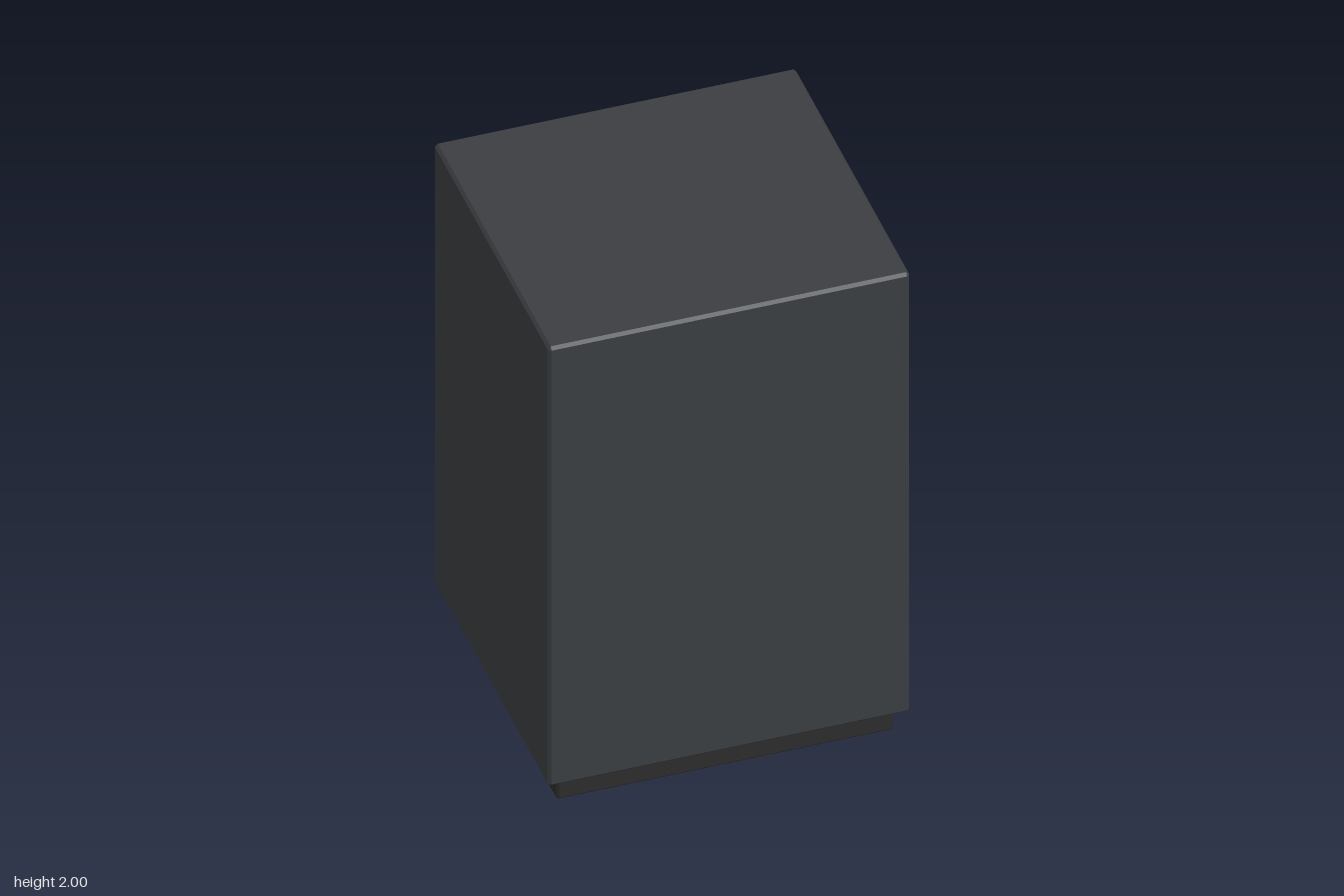
import * as THREE from 'three';
import { ConvexGeometry } from 'three/addons/geometries/ConvexGeometry.js';

const paint = (color) => new THREE.MeshStandardMaterial({ color });

// Box between two corners with every edge chamfered by c
function chamferedBox(name, min, max, c, material) {
  const half = max.map((v, i) => (v - min[i]) / 2);
  const points = [];
  for (const sx of [-1, 1]) for (const sy of [-1, 1]) for (const sz of [-1, 1]) {
    for (let axis = 0; axis < 3; axis++) {
      const p = half.map((h, i) => (i === axis ? h : h - c));
      points.push(new THREE.Vector3(p[0] * sx, p[1] * sy, p[2] * sz));
    }
  }
  const mesh = new THREE.Mesh(new ConvexGeometry(points), material);
  mesh.position.set(...max.map((v, i) => (v + min[i]) / 2));
  mesh.name = name;
  return mesh;
}

function rod(name, radius, length, material) {
  const mesh = new THREE.Mesh(new THREE.CylinderGeometry(radius, radius, length, 20), material);
  mesh.name = name;
  return mesh;
}

export function createModel() {
  const model = new THREE.Group();
  model.name = 'cabinet';
  const bodyPaint = paint(0x3b3e42);
  const plinthPaint = paint(0x2c2c2d);
  const doorPaint = paint(0x343b3f);
  const trimMetal = paint(0xaab0bc);
  const handleMetal = paint(0x77797a);

  // Carcass on a recessed plinth
  model.add(chamferedBox('body', [-0.655, 0.096, -0.561], [0.655, 2, 0.66], 0.011, bodyPaint));
  model.add(chamferedBox('plinth', [-0.612, 0, -0.47], [0.612, 0.097, 0.62], 0.009, plinthPaint));

  // Door panel and the bright strip along its top
  model.add(chamferedBox('door', [-0.59, 0.186, -0.588], [0.59, 1.914, -0.56], 0.006, doorPaint));
  model.add(chamferedBox('trimStrip', [-0.59, 1.871, -0.608], [0.59, 1.904, -0.586], 0.005, trimMetal));

  // Bar handle on two posts
  const handle = new THREE.Group();
  handle.name = 'handle';
  handle.position.y = 1.781;
  const bar = rod('handleBar', 0.009, 0.96, handleMetal);
  bar.rotation.z = Math.PI / 2;
  bar.position.z = -0.656;
  handle.add(bar);
  for (const side of [-1, 1]) {
    const post = rod(side > 0 ? 'leftPost' : 'rightPost', 0.007, 0.07, handleMetal);
    post.rotation.x = Math.PI / 2;
    post.position.set(side * 0.458, 0, -0.62);
    handle.add(post);
  }
  model.add(handle);
  return model;
}
